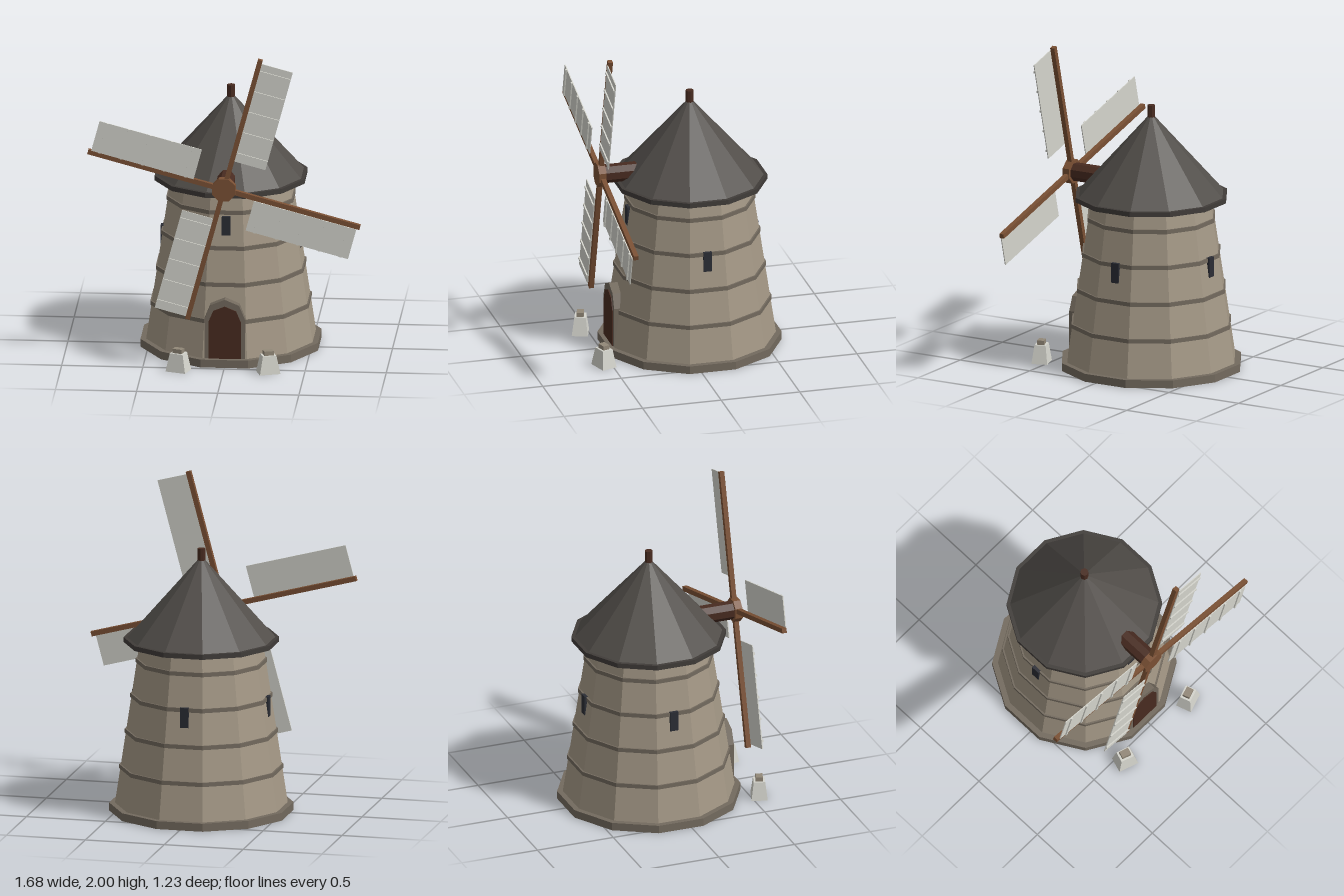
import * as THREE from 'three';

const mat = (name, color) => {
  const m = new THREE.MeshStandardMaterial({ color });
  m.name = name;
  return m;
};

export function createModel() {
  const stone = mat('wall stone', 0xa49886);
  const trim = mat('trim stone', 0x736a5e);
  const roofing = mat('roof slate', 0x524e4a);
  const eaveMat = mat('eave slate', 0x403c39);
  const wood = mat('spar wood', 0x7a5034);
  const darkWood = mat('dark wood', 0x482b20);
  const glass = mat('window dark', 0x2b2d35);
  const canvas = mat('sail canvas', 0xd4d4cc);
  const sackCap = mat('sack tie', 0x928878);

  const model = new THREE.Group();
  model.name = 'windmill';

  // Adds a faceted mesh
  const add = (parent, name, geometry, material, x = 0, y = 0, z = 0) => {
    const g = geometry.index ? geometry.toNonIndexed() : geometry;
    g.computeVertexNormals();
    const mesh = new THREE.Mesh(g, material);
    mesh.name = name;
    mesh.position.set(x, y, z);
    parent.add(mesh);
    return mesh;
  };
  const box = (w, h, d) => new THREE.BoxGeometry(w, h, d);

  // Twelve-sided tower with flats facing front and sides; sizes are centre-to-flat
  const tower = new THREE.Group();
  tower.name = 'tower';
  tower.position.z = -0.07;
  model.add(tower);
  const ring = (name, rBottom, rTop, y0, y1, material) => {
    const k = 1 / Math.cos(Math.PI / 12);
    const g = new THREE.CylinderGeometry(rTop * k, rBottom * k, y1 - y0, 12);
    g.rotateY(Math.PI / 12);
    return add(tower, name, g, material, 0, (y0 + y1) / 2, 0);
  };
  const wallAt = (y) => 0.52 - 0.145 * y;
  ring('base', 0.547, 0.547, 0, 0.05, trim);
  ring('wall', wallAt(0.04), wallAt(1.08), 0.04, 1.08, stone);
  for (const y of [0.28, 0.505, 0.73, 0.95]) {
    const r = wallAt(y) + 0.008;
    ring('band', r, r, y - 0.013, y + 0.013, trim);
  }
  ring('eave', 0.462, 0.462, 1.065, 1.095, eaveMat);
  ring('roof', 0.44, 0.001, 1.095, 1.607, roofing);
  add(tower, 'finial', new THREE.CylinderGeometry(0.025, 0.025, 0.1, 8), darkWood, 0, 1.605, 0);

  // Windows: a high one in front, lower ones on the other three sides
  for (let i = 0; i < 4; i++) {
    const pivot = new THREE.Group();
    pivot.name = 'windowSide';
    pivot.rotation.y = (i * Math.PI) / 2;
    tower.add(pivot);
    const y = i === 0 ? 0.865 : 0.683;
    const out = i === 0 ? 0.403 : 0.433;
    add(pivot, 'window', box(0.053, 0.125, 0.05), glass, 0, y, out - 0.025);
  }

  // Arched door and its surround
  const arch = (r, spring, depth) => {
    const s = new THREE.Shape();
    s.moveTo(-r, 0.04);
    s.lineTo(r, 0.04);
    for (let i = 0; i <= 4; i++) {
      const a = (i * Math.PI) / 4;
      s.lineTo(r * Math.cos(a), spring + r * Math.sin(a));
    }
    return new THREE.ExtrudeGeometry(s, { depth, bevelEnabled: false });
  };
  add(model, 'doorFrame', arch(0.125, 0.303, 0.1), trim, 0, 0, 0.344);
  add(model, 'door', arch(0.1, 0.285, 0.1), darkWood, 0, 0, 0.35);

  // Axle, hub and four sails
  const rotor = new THREE.Group();
  rotor.name = 'rotor';
  rotor.position.set(0, 1.157, 0);
  model.add(rotor);
  const disc = (r, length) => new THREE.CylinderGeometry(r, r, length, 8)
    .rotateY(Math.PI / 8).rotateX(Math.PI / 2);
  add(rotor, 'axle', disc(0.058, 0.3), darkWood, 0, 0, 0.335);
  add(rotor, 'hub', disc(0.077, 0.047), wood, 0, 0, 0.5);
  for (let i = 0; i < 4; i++) {
    const arm = new THREE.Group();
    arm.name = 'sailArm';
    arm.rotation.z = -Math.PI / 12 + (i * Math.PI) / 2;
    rotor.add(arm);
    add(arm, 'spar', box(0.03, 0.868, 0.03), wood, 0, 0.434, 0.497);
    add(arm, 'sail', box(0.198, 0.653, 0.006), canvas, 0.114, 0.523, 0.515);
    for (let j = 0; j < 5; j++) {
      add(arm, 'batten', box(0.198, 0.014, 0.009), canvas, 0.114, 0.25 + j * 0.137, 0.522);
    }
  }

  // Tapered grain sacks by the door
  for (const side of [-1, 1]) {
    const sack = new THREE.Group();
    sack.name = 'sack';
    sack.position.set(side * 0.277, 0, 0.55);
    sack.rotation.y = side * 0.32;
    model.add(sack);
    const body = box(0.13, 0.115, 0.1);
    const p = body.attributes.position;
    for (let i = 0; i < p.count; i++) {
      if (p.getY(i) > 0) p.setXYZ(i, p.getX(i) * 0.66, p.getY(i), p.getZ(i) * 0.7);
    }
    add(sack, 'sackBody', body, canvas, 0, 0.0575, 0);
    add(sack, 'sackTop', box(0.06, 0.028, 0.044), sackCap, 0, 0.128, 0);
  }
  return model;
}
